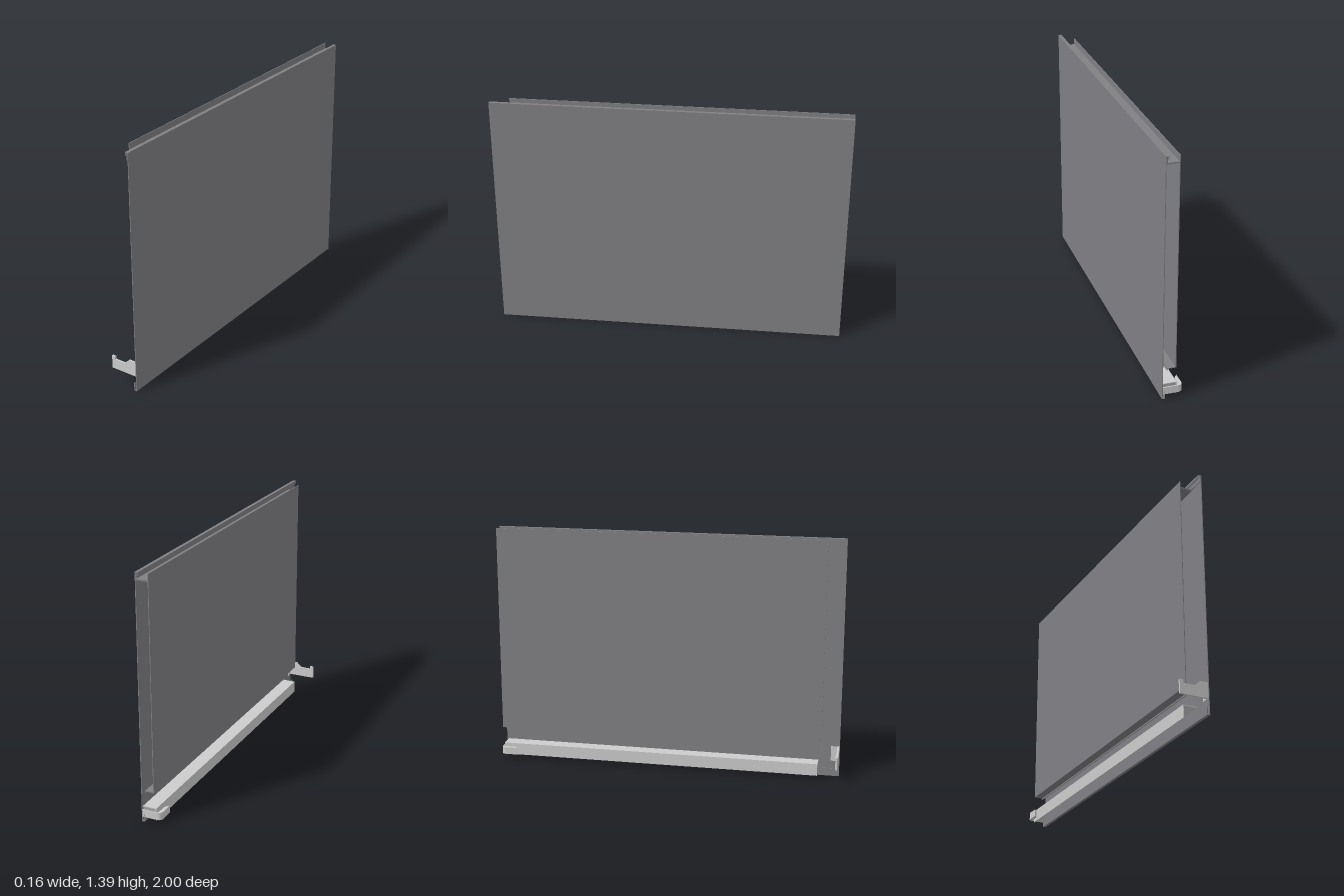
import * as THREE from 'three';

const metal = (color) => new THREE.MeshStandardMaterial({ color, side: THREE.DoubleSide, flatShading: true });
const dark = metal(0x808084);  // painted panels
const light = metal(0xe6e6e6); // rail and latch
const mid = metal(0xc3c3c3);   // hook
const dull = metal(0xa3a3a3);  // end plate

const T = 0.004;  // sheet metal thickness
const R = 0.082;  // outer face of the panel

export function createModel() {
  const model = new THREE.Group();

  const add = (name, geometry, material, parent = model) => {
    const mesh = new THREE.Mesh(geometry, material);
    mesh.name = name;
    parent.add(mesh);
    return mesh;
  };

  const section = (name) => {
    const group = new THREE.Group();
    group.name = name;
    model.add(group);
    return group;
  };

  // Box given by its limits on each axis
  const box = (name, x0, x1, y0, y1, z0, z1, material, parent) =>
    add(name, new THREE.BoxGeometry(x1 - x0, y1 - y0, z1 - z0), material, parent)
      .position.set((x0 + x1) / 2, (y0 + y1) / 2, (z0 + z1) / 2);

  const shape = (points) => new THREE.Shape(points.map(([x, y]) => new THREE.Vector2(x, y)));

  // Outer skin with folded top and bottom edges
  const outer = section('outerPanel');
  box('outerSheet', R - T, R, 0, 1.387, -1, 1, dark, outer);
  box('bottomFold', 0.065, R - T, 0, T, -1, 1, dark, outer);
  box('bottomReturn', 0.065, 0.065 + T, T, 0.045, -1, 1, dark, outer);
  box('topFold', 0.064, R - T, 1.387 - T, 1.387, -1, 1, dark, outer);
  box('topReturn', 0.064, 0.064 + T, 1.37, 1.387 - T, -1, 1, dark, outer);
  box('topInnerStrip', 0.072, 0.072 + T, 1.345, 1.387 - T, -1, 1, dark, outer);

  // Inner skin, shorter at the front, with the channel floor and lower flange
  const inner = section('innerPanel');
  box('innerSheet', 0.006, 0.006 + T, 0.182, 1.387, -1, 0.9, dark, inner);
  box('channelFloor', 0.006 + T, R - T, 1.345, 1.353, -1, 0.9, dark, inner);
  box('lowerFlange', 0.006 + T, 0.058, 0.182, 0.182 + T, -1, 0.9, dark, inner);
  box('lowerLip', 0.058 - T, 0.058, 0.173, 0.182, -1, 0.9, dark, inner);

  // Angled rail along the bottom, closed by a plate at the back end
  const rail = section('bottomRail');
  box('railTop', 0, R - T, 0.088 - T, 0.088, -0.99, 0.88, light, rail);
  box('railSide', 0, T, 0.018, 0.088 - T, -0.99, 0.88, light, rail);
  box('railEndPlate', T, R - T, 0.03, 0.088 - T, -0.99, -0.986, dull, rail);

  // Flat notched latch plate at the front end, with its mounting tab
  const latch = section('frontLatch');
  const latchShape = shape([
    [-0.083, 0.089], [R - T, 0.089], [R - T, 0.176], [0.033, 0.176],
    [0.001, 0.147], [-0.062, 0.147], [-0.062, 0.165], [-0.083, 0.165],
  ]);
  add('latchPlate', new THREE.ExtrudeGeometry(latchShape, { depth: 0.01, bevelEnabled: false }), light, latch)
    .position.z = 0.987;
  box('latchTab', R - 2 * T, R - T, 0.089, 0.176, 0.95, 0.987, light, latch);

  // Curled hook at the back end: a strip bent towards the front
  const hook = shape([[R - T, -1], [R - T, -0.994], [-0.005, -0.994]]);
  hook.quadraticCurveTo(-0.011, -0.992, -0.013, -0.984);
  hook.lineTo(-0.013, -0.925);
  hook.lineTo(-0.032, -0.9);
  hook.lineTo(-0.033, -0.975);
  hook.quadraticCurveTo(-0.032, -0.998, -0.009, -1);
  const hookGeometry = new THREE.ExtrudeGeometry(hook, { depth: 0.042, bevelEnabled: false, curveSegments: 6 });
  hookGeometry.rotateX(Math.PI / 2); // profile lies in plan, extruded downwards
  add('backHook', hookGeometry, mid).position.y = 0.07;

  return model;
}
